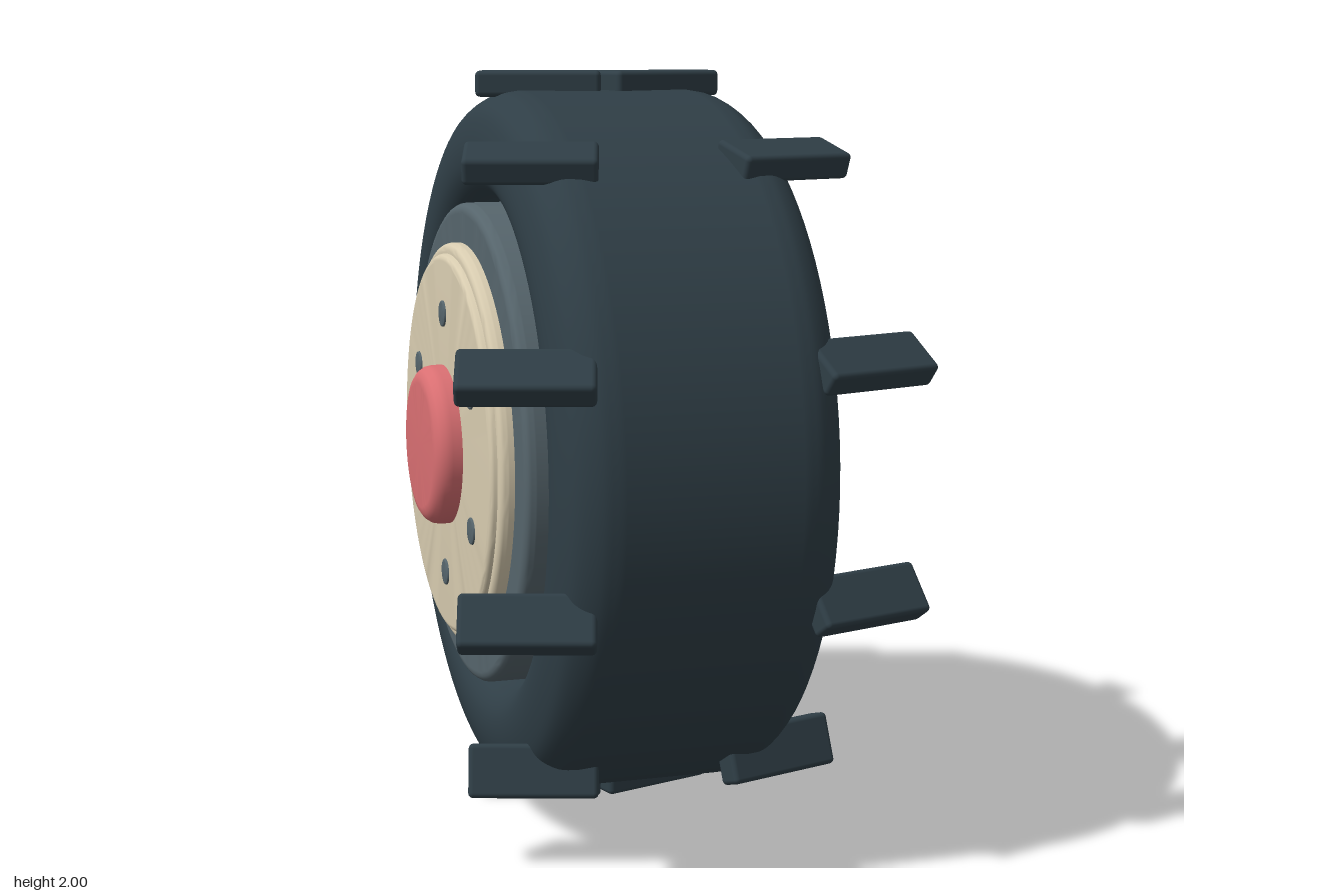
import * as THREE from 'three';
import { toCreasedNormals } from 'three/addons/utils/BufferGeometryUtils.js';
import { RoundedBoxGeometry } from 'three/addons/geometries/RoundedBoxGeometry.js';

const rubber = new THREE.MeshStandardMaterial({ name: 'dark rubber', color: 0x2f3e46 });
const steel = new THREE.MeshStandardMaterial({ name: 'grey steel', color: 0x56656c });
const cream = new THREE.MeshStandardMaterial({ name: 'cream paint', color: 0xd8ccb0 });
const coral = new THREE.MeshStandardMaterial({ name: 'coral paint', color: 0xd96f72 });

function add(parent, name, geometry, material) {
  const mesh = new THREE.Mesh(geometry, material);
  mesh.name = name;
  parent.add(mesh);
  return mesh;
}

// Turns a half profile of [radius, x] around the axle, mirrored to both sides
function turned(half, segments) {
  const right = half.map(([r, x]) => new THREE.Vector2(r, x));
  const left = half.map(([r, x]) => new THREE.Vector2(r, -x)).reverse();
  const geometry = new THREE.LatheGeometry([...left, ...right], segments);
  geometry.rotateZ(-Math.PI / 2);
  return geometry;
}

// Solid drum along the axle with rounded rims
function drum(radius, halfWidth, bevel, segments = 72) {
  const half = [[radius, halfWidth - bevel - 0.004]];
  for (let i = 0; i <= 4; i++) {
    const a = (i / 4) * Math.PI / 2;
    half.push([radius - bevel + bevel * Math.cos(a), halfWidth - bevel + bevel * Math.sin(a)]);
  }
  half.push([radius - bevel - 0.004, halfWidth], [0, halfWidth]);
  return toCreasedNormals(turned(half, segments), 0.7);
}

export function createModel() {
  const model = new THREE.Group();
  model.name = 'tractorWheel';
  const wheel = new THREE.Group();
  wheel.name = 'wheel';
  wheel.position.set(0, 1.018, 0.045);
  model.add(wheel);

  // Tyre: flat tread, rounded shoulders, sidewalls rolling in to the rim
  const wall = new THREE.CatmullRomCurve3([
    [0.932, 0.23], [0.922, 0.275], [0.885, 0.325], [0.83, 0.348], [0.77, 0.357],
    [0.72, 0.35], [0.68, 0.325], [0.655, 0.285], [0.62, 0.25],
  ].map(([r, x]) => new THREE.Vector3(r, x, 0)));
  const section = wall.getPoints(32).map((p) => [p.x, p.y]);
  add(wheel, 'tyre', turned([[0.932, 0.1], [0.932, 0.22], ...section], 96), rubber);

  // Rim, disc and hub
  add(wheel, 'rim', drum(0.64, 0.385, 0.025, 96), steel);
  add(wheel, 'discEdge', drum(0.535, 0.422, 0.02, 96), cream);
  add(wheel, 'discFace', drum(0.507, 0.44, 0.018, 96), cream);
  add(wheel, 'hubCap', drum(0.212, 0.51, 0.045), coral);

  // Six bolts, each passing through to both sides
  const boltGeometry = drum(0.035, 0.446, 0.004, 20);
  for (let i = 0; i < 6; i++) {
    const a = (i * Math.PI) / 3;
    add(wheel, 'bolt', boltGeometry, steel).position.set(0, 0.35 * Math.cos(a), 0.35 * Math.sin(a));
  }

  // Two rings of ten lugs, splayed outward at the front and crossing at the back
  const lugGeometry = new RoundedBoxGeometry(0.33, 0.068, 0.137, 3, 0.013);
  for (const side of [1, -1]) {
    const ring = new THREE.Group();
    ring.name = side > 0 ? 'leftLugs' : 'rightLugs';
    ring.rotation.y = side * 0.3;
    wheel.add(ring);
    for (let i = 0; i < 10; i++) {
      const a = (i * Math.PI) / 5;
      const lug = add(ring, 'lug', lugGeometry, rubber);
      lug.position.set(side * 0.17, 0.949 * Math.cos(a), 0.949 * Math.sin(a));
      lug.rotation.x = a / 2;
    }
  }
  return model;
}
